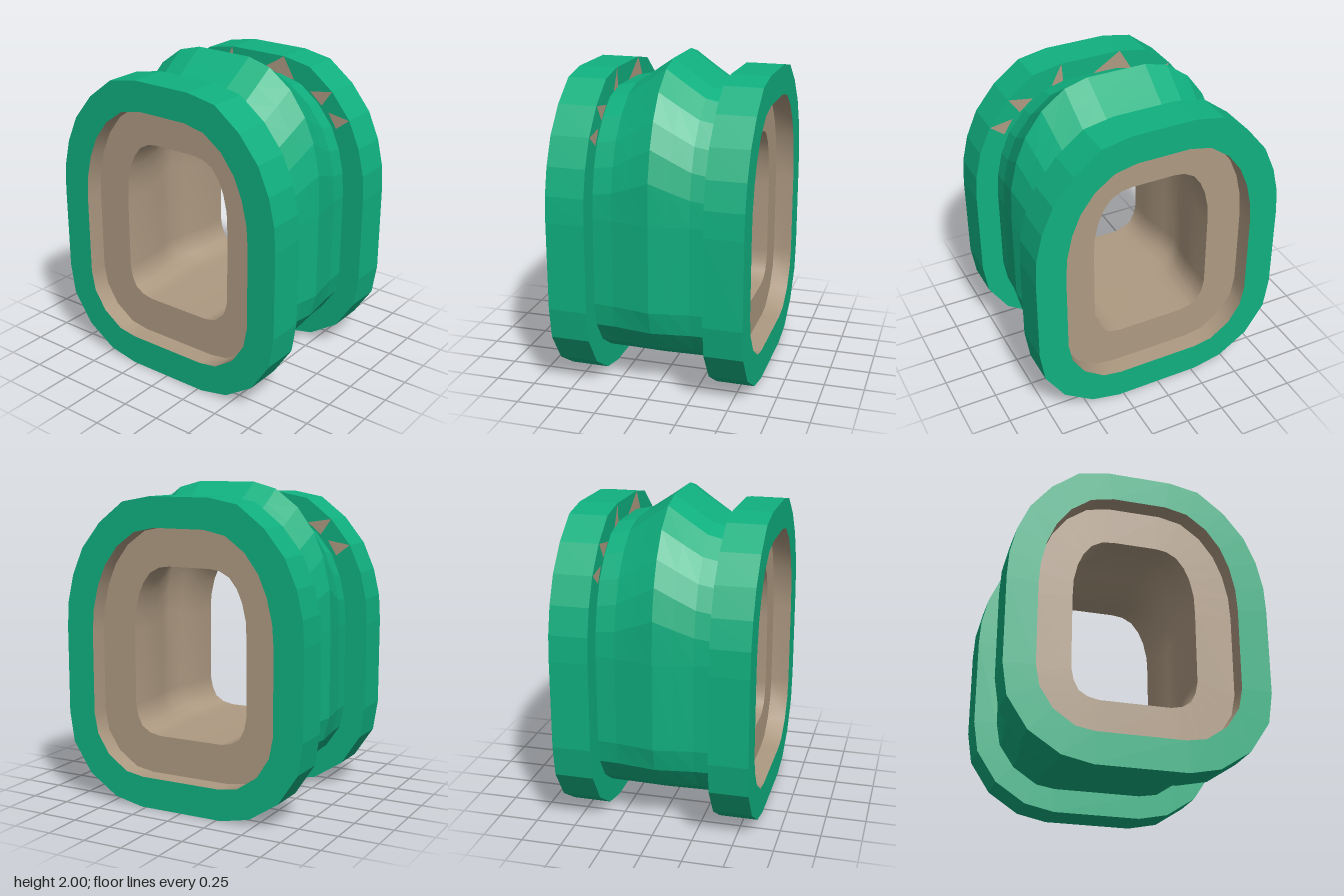
import * as THREE from 'three';

const green = new THREE.MeshStandardMaterial({ name: 'green', color: 0x10b07f });
const tan = new THREE.MeshStandardMaterial({ name: 'tan', color: 0xae9a82 });

// Half outlines on the +x side, from bottom to top, 12 points each
const flange = [[0.28, 0], [0.47, 0.04], [0.66, 0.165], [0.785, 0.355], [0.815, 0.55], [0.815, 1.1],
  [0.805, 1.26], [0.765, 1.43], [0.69, 1.6], [0.56, 1.76], [0.39, 1.89], [0.2, 1.925]];
const waist = [[0.28, 0.15], [0.4, 0.17], [0.55, 0.27], [0.645, 0.41], [0.67, 0.555], [0.67, 1.1],
  [0.66, 1.25], [0.625, 1.4], [0.565, 1.54], [0.46, 1.67], [0.33, 1.77], [0.18, 1.81]];
const ridge = [[0.28, 0.15], [0.41, 0.17], [0.58, 0.27], [0.685, 0.41], [0.72, 0.555], [0.72, 1.1],
  [0.71, 1.36], [0.665, 1.55], [0.6, 1.7], [0.49, 1.85], [0.34, 1.96], [0.19, 2.0]];
const recess = [[0.27, 0.195], [0.39, 0.215], [0.52, 0.305], [0.6, 0.43], [0.625, 0.56], [0.625, 1.08],
  [0.615, 1.22], [0.58, 1.37], [0.525, 1.5], [0.435, 1.62], [0.31, 1.71], [0.17, 1.74]];
const opening = [[0.22, 0.435], [0.29, 0.45], [0.345, 0.485], [0.375, 0.545], [0.39, 0.62], [0.39, 1.08],
  [0.385, 1.2], [0.36, 1.31], [0.325, 1.39], [0.275, 1.455], [0.21, 1.49], [0.14, 1.5]];
const cavity = opening.map(([x, y]) => [x * 1.13, y < 0.8 ? y : y + (y - 0.8) * 0.26]);

const mix = (a, b, t) => a.map(([x, y], i) => [x + (b[i][0] - x) * t, y + (b[i][1] - y) * t]);

// Skin a list of [half outline, z] rings, mirroring every outline in x
function loft(name, material, rings, smooth) {
  const pos = [], index = [];
  const n = rings[0][0].length * 2;
  rings.forEach(([half, z], k) => {
    const full = [...half, ...half.map(([x, y]) => [-x, y]).reverse()];
    full.forEach(([x, y]) => pos.push(x, y, z));
    if (k === 0) return;
    for (let i = 0; i < n; i++) {
      const j = (i + 1) % n, a = (k - 1) * n, b = k * n;
      index.push(a + i, a + j, b + j, a + i, b + j, b + i);
    }
  });
  let geo = new THREE.BufferGeometry();
  geo.setAttribute('position', new THREE.Float32BufferAttribute(pos, 3));
  geo.setIndex(index);
  if (!smooth) geo = geo.toNonIndexed();
  geo.computeVertexNormals();
  const mesh = new THREE.Mesh(geo, material);
  mesh.name = name;
  return mesh;
}

// Small tan wedges on the inward face of a flange
function wedges() {
  const right = [
    [[0.2, 1.925], [-0.02, 1.79], [0.28, 1.79]],
    [[0.56, 1.76], [0.4, 1.735], [0.49, 1.66]],
    [[0.69, 1.6], [0.54, 1.625], [0.6, 1.53]],
  ];
  const left = right.slice(1).map((t) => t.map(([x, y]) => [-x, y]).reverse());
  const all = [...right, [[-0.2, 1.925], [-0.27, 1.79], [-0.19, 1.79]], ...left];
  const shapes = all.map((t) => new THREE.Shape(t.map(([x, y]) => new THREE.Vector2(x, y))));
  return new THREE.ShapeGeometry(shapes);
}

export function createModel() {
  const model = new THREE.Group();
  model.name = 'flangedSleeve';

  // Waist that swells to a sharp ridge halfway along
  const swell = [[-0.36, 0], [-0.24, 0.14], [-0.12, 0.56], [0, 1], [0.12, 0.56], [0.24, 0.14], [0.36, 0]];
  model.add(loft('waistBand', green, swell.map(([z, t]) => [mix(waist, ridge, t), z])));

  // Flange collars at both ends
  model.add(loft('backFlange', green, [[recess, -0.6], [flange, -0.6], [flange, -0.36], [waist, -0.36]]));
  model.add(loft('frontFlange', green, [[waist, 0.36], [flange, 0.36], [flange, 0.6], [recess, 0.6]]));

  // Recessed lips around the openings
  model.add(loft('frontRecessWall', tan, [[recess, 0.6], [recess, 0.48]], true));
  model.add(loft('frontLip', tan, [[recess, 0.48], [opening, 0.48]]));
  model.add(loft('backLip', tan, [[opening, -0.48], [recess, -0.48]]));
  model.add(loft('backRecessWall', tan, [[recess, -0.48], [recess, -0.6]], true));

  // Smooth tunnel that follows the swell of the waist
  const tunnel = [[opening, 0.48], ...swell.map(([z, t]) => [mix(opening, cavity, t), -z]), [opening, -0.48]];
  model.add(loft('tunnelLining', tan, tunnel, true));

  // Wedges on the inward faces, front and back
  for (const turn of [0, Math.PI]) {
    const pivot = new THREE.Group();
    const mesh = new THREE.Mesh(wedges(), tan);
    mesh.name = 'flangeWedges';
    mesh.position.z = -0.357;
    pivot.name = turn ? 'frontWedges' : 'backWedges';
    pivot.rotation.y = turn;
    pivot.add(mesh);
    model.add(pivot);
  }
  return model;
}
